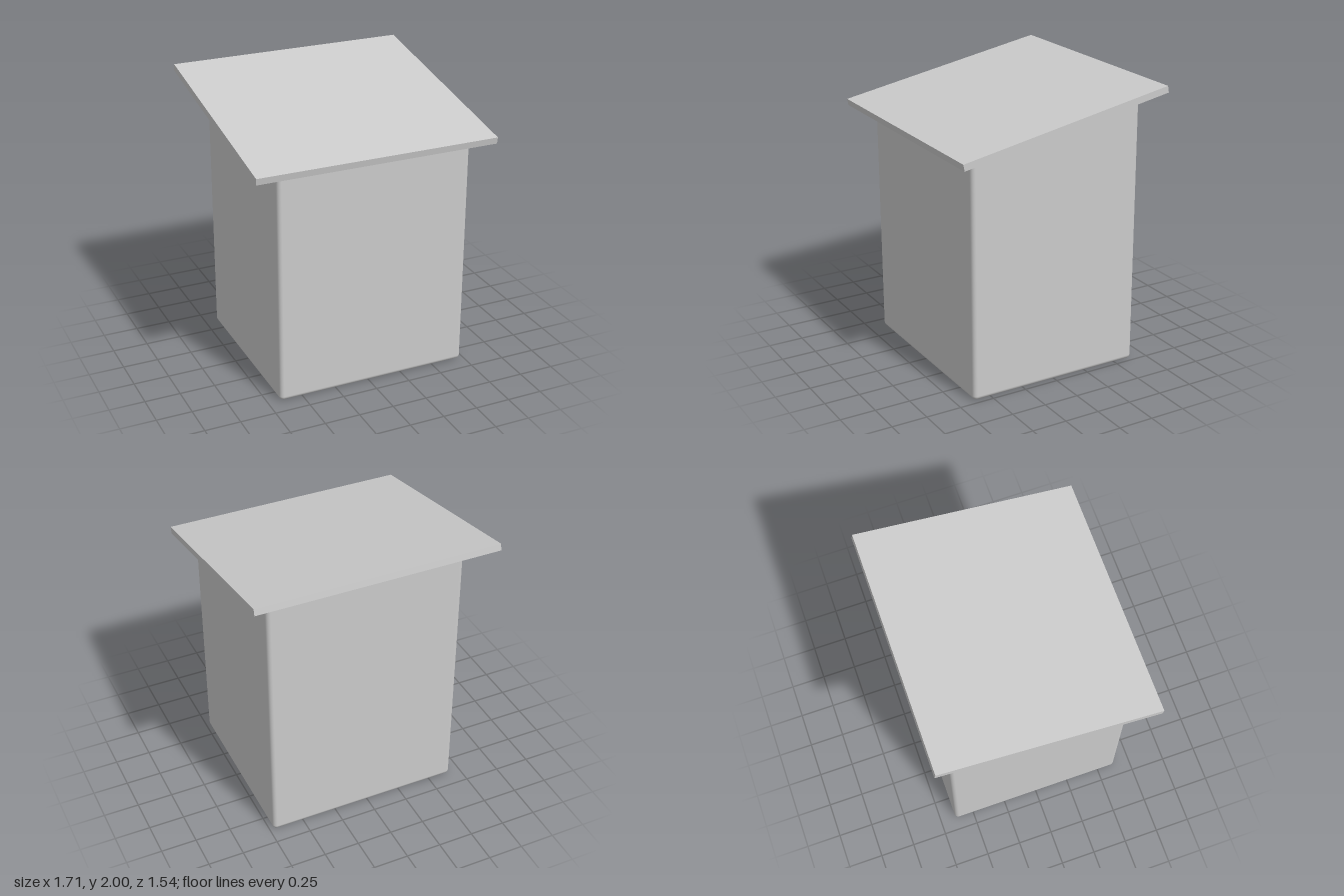
import * as THREE from 'three';
import { RoundedBoxGeometry } from 'three/addons/geometries/RoundedBoxGeometry.js';

const PITCH = 0.1845; // roof angle in radians, rising toward the back
const ROOF_Y = 1.835; // height of the roof's centre

export function createModel() {
  const model = new THREE.Group();
  model.name = 'boxWithLeanToRoof';
  const material = new THREE.MeshStandardMaterial({ color: 0xcccccc });

  // Body: softly rounded box whose top is sheared to follow the roof
  const width = 1.39, height = ROOF_Y, depth = 1.272;
  const bodyGeometry = new RoundedBoxGeometry(width, height, depth, 3, 0.03);
  const pos = bodyGeometry.attributes.position;
  for (let i = 0; i < pos.count; i++) {
    const y = pos.getY(i), z = pos.getZ(i);
    if (y > 0) pos.setY(i, y - z * Math.tan(PITCH));
    pos.setZ(i, z + 0.003 * Math.sign(y)); // very slight forward lean
  }
  const body = new THREE.Mesh(bodyGeometry, material);
  body.name = 'body';
  body.position.set(0.03, height / 2, 0);

  // Roof: thin flat slab overhanging every wall
  const roof = new THREE.Mesh(new THREE.BoxGeometry(1.71, 0.047, 1.554), material);
  roof.name = 'roof';
  roof.position.y = ROOF_Y;
  roof.rotation.x = PITCH;

  model.add(body, roof);
  return model;
}
